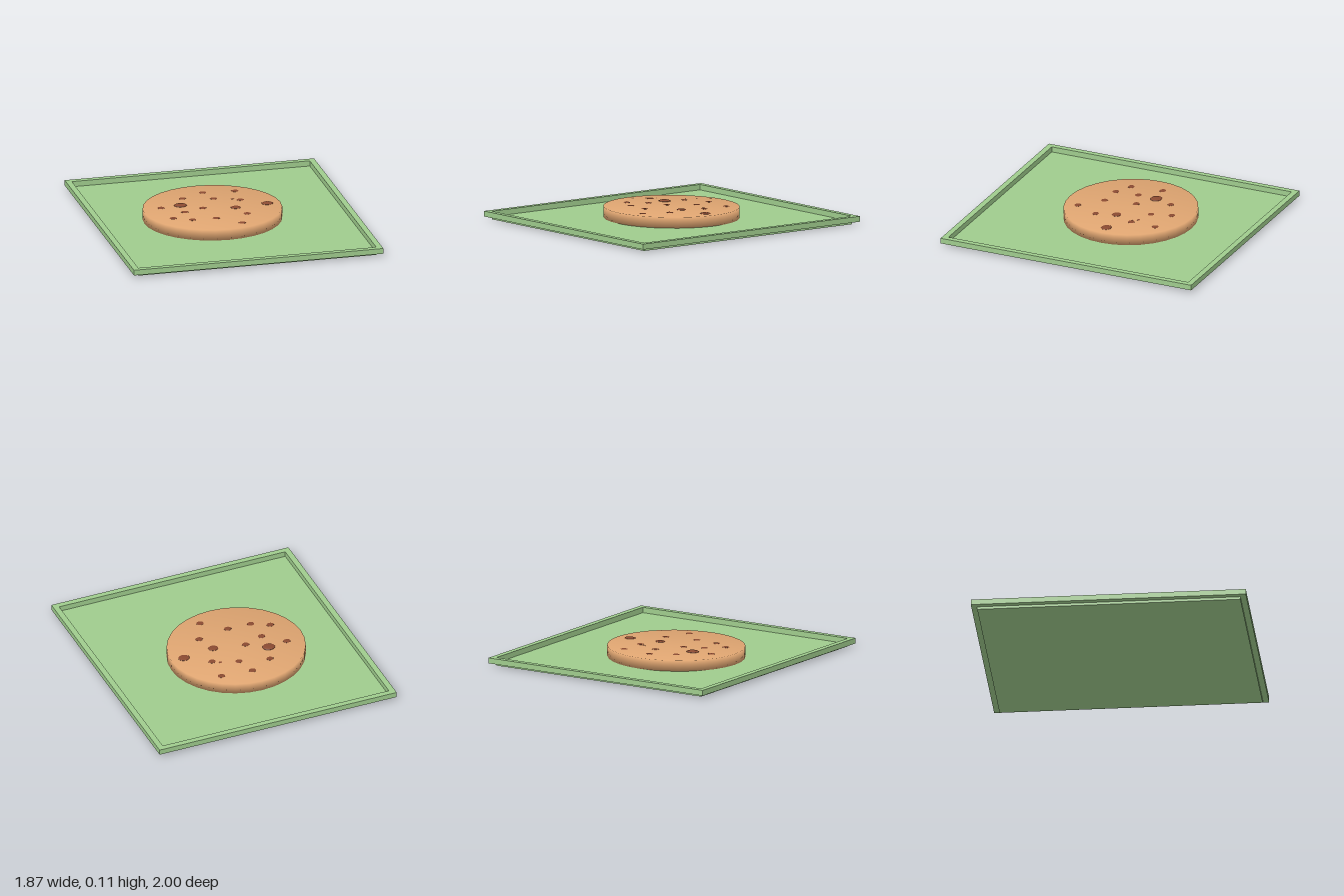
import * as THREE from 'three';
import { mergeVertices } from 'three/addons/utils/BufferGeometryUtils.js';

export function createModel() {
  const model = new THREE.Group();
  const green = new THREE.MeshStandardMaterial({ color: 0x9fcc8d });
  green.name = 'trayGreen';
  const dough = new THREE.MeshStandardMaterial({ color: 0xdfa571 });
  dough.name = 'cookieDough';
  const chocolate = new THREE.MeshStandardMaterial({ color: 0x8a4a31 });
  chocolate.name = 'chocolate';

  const add = (name, geometry, material, x, y, z, parent = model) => {
    const mesh = new THREE.Mesh(geometry, material);
    mesh.name = name;
    mesh.position.set(x, y, z);
    parent.add(mesh);
    return mesh;
  };

  // Tray: thin base plate with an overhanging raised rim
  const W = 0.933, D = 1, w = 0.89, d = 0.957;
  add('trayBase', new THREE.BoxGeometry(2 * w, 0.02, 2 * d), green, 0, 0.01, 0);

  const corners = (a, b) => [[-a, -b], [a, -b], [a, b], [-a, b]].map(p => new THREE.Vector2(...p));
  const rimShape = new THREE.Shape(corners(W, D));
  rimShape.holes.push(new THREE.Path(corners(w, d)));
  const rim = new THREE.ExtrudeGeometry(rimShape, { depth: 0.04, bevelEnabled: false });
  rim.rotateX(-Math.PI / 2);
  add('trayRim', rim, green, 0, 0.02, 0);

  // Cookie: disc whose shared normals shade softly across the edge
  const cookie = new THREE.Group();
  cookie.name = 'cookie';
  model.add(cookie);
  let disc = new THREE.CylinderGeometry(0.508, 0.508, 0.08, 32);
  disc.scale(1, 1, 0.485 / 0.508);
  disc.deleteAttribute('uv');
  disc.deleteAttribute('normal');
  disc = mergeVertices(disc, 1e-4);
  disc.computeVertexNormals();
  add('cookieDisc', disc, dough, -0.073, 0.06, -0.053, cookie);

  // Chocolate chips: x, z, radius, height above the cookie
  const chips = [
    [-0.06, -0.385, 0.027, 0.003], [0.175, -0.362, 0.027, 0.003],
    [-0.235, -0.297, 0.026, 0.003], [-0.015, -0.24, 0.026, 0.003],
    [0.113, -0.2, 0.012, 0.002], [0.165, -0.167, 0.027, 0.003],
    [-0.285, -0.157, 0.047, 0.011], [-0.435, -0.14, 0.027, 0.003],
    [-0.143, -0.064, 0.027, 0.003], [-0.29, -0.012, 0.027, 0.003],
    [0.092, -0.016, 0.037, 0.006], [0.335, -0.046, 0.042, 0.007],
    [-0.405, 0.097, 0.027, 0.003], [-0.278, 0.162, 0.027, 0.003],
    [-0.102, 0.171, 0.027, 0.003], [0.14, 0.13, 0.027, 0.003],
    [0.056, 0.312, 0.027, 0.003],
  ];
  const dome = new THREE.SphereGeometry(1, 16, 8, 0, Math.PI * 2, 0, Math.PI / 2);
  for (const [x, z, r, h] of chips) {
    add('chocolateChip', dome, chocolate, x, 0.1, z, cookie).scale.set(r, h, r * 0.88);
  }

  return model;
}
